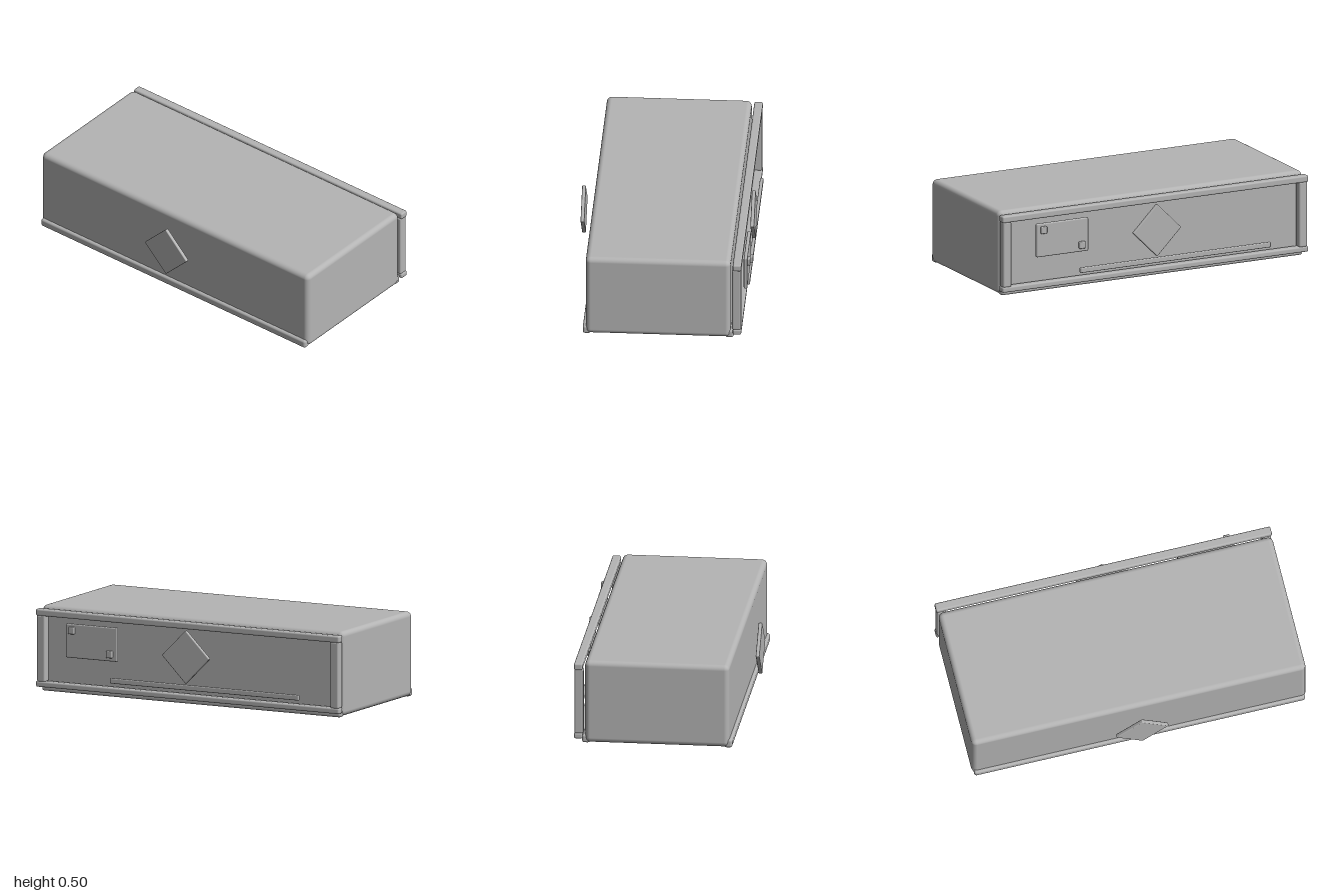
import * as THREE from 'three';
import { RoundedBoxGeometry } from 'three/addons/geometries/RoundedBoxGeometry.js';

export function createModel() {
  const model = new THREE.Group();
  const grey = new THREE.MeshStandardMaterial({ color: 0xb4b4b4 });
  grey.name = 'grey';

  // Rounded box given by its min and max on each axis
  function block(name, [x0, x1], [y0, y1], [z0, z1], radius, segments = 2) {
    const geometry = new RoundedBoxGeometry(x1 - x0, y1 - y0, z1 - z0, segments, radius);
    const mesh = new THREE.Mesh(geometry, grey);
    mesh.name = name;
    mesh.position.set((x0 + x1) / 2, (y0 + y1) / 2, (z0 + z1) / 2);
    model.add(mesh);
    return mesh;
  }

  // Main casing
  block('body', [-0.995, 0.995], [0.004, 0.5], [-0.41, 0.43], 0.03, 3);

  // Bars along the lower front and back edges
  block('frontSill', [-0.985, 0.985], [0, 0.05], [0.4, 0.447], 0.014);
  block('backSill', [-0.985, 0.985], [0, 0.05], [-0.428, -0.38], 0.014);

  // Frame standing off the back
  block('frameTop', [-1, 1], [0.445, 0.485], [-0.473, -0.423], 0.01);
  block('frameBottom', [-1, 1], [0.028, 0.062], [-0.473, -0.423], 0.01);
  for (const side of [-1, 1]) {
    const xs = side > 0 ? [0.94, 0.995] : [-0.995, -0.94];
    block(side > 0 ? 'frameLeft' : 'frameRight', xs, [0.058, 0.449], [-0.471, -0.419], 0.01);
  }

  // Diamond plates, front and back
  for (const [name, z] of [['frontDiamond', 0.501], ['backDiamond', -0.483]]) {
    const diamond = block(name, [-0.111, 0.111], [0.174, 0.396], [z - 0.011, z + 0.011], 0.006);
    diamond.rotation.z = Math.PI / 4;
  }

  // Back plate with two fasteners at opposite corners
  block('backPlate', [0.45, 0.79], [0.22, 0.42], [-0.495, -0.474], 0.008);
  for (const [x, y] of [[0.747, 0.382], [0.497, 0.262]]) {
    block('fastener', [x - 0.02, x + 0.02], [y - 0.021, y + 0.021], [-0.511, -0.49], 0.006);
  }

  // Thin horizontal strip low on the back
  block('backStrip', [-0.745, 0.5], [0.09, 0.122], [-0.492, -0.472], 0.007);

  return model;
}
